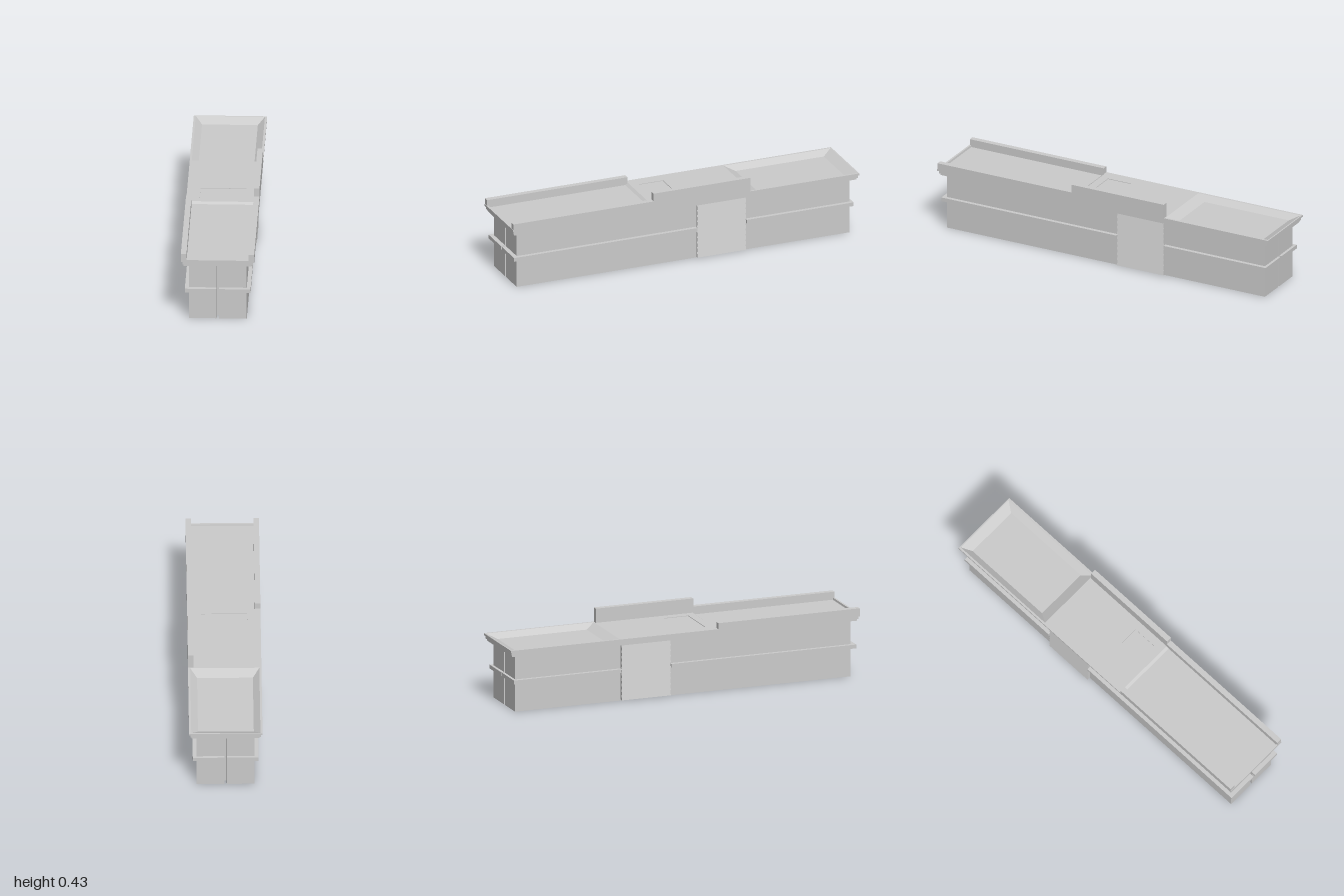
import * as THREE from 'three';

const mat = new THREE.MeshStandardMaterial({ color: 0xcccccc, flatShading: true, side: THREE.DoubleSide });

function add(parent, name, geometry) {
  const mesh = new THREE.Mesh(geometry, mat);
  mesh.name = name;
  parent.add(mesh);
  return mesh;
}

// Box given by its min and max on each axis
function box(parent, name, x0, x1, y0, y1, z0, z1) {
  const mesh = add(parent, name, new THREE.BoxGeometry(x1 - x0, y1 - y0, z1 - z0));
  mesh.position.set((x0 + x1) / 2, (y0 + y1) / 2, (z0 + z1) / 2);
  return mesh;
}

// Rectangle [x0, x1, z0, z1] as a path in the XY plane (y = -z)
function rect(path, [x0, x1, z0, z1]) {
  path.moveTo(x0, -z1);
  path.lineTo(x1, -z1);
  path.lineTo(x1, -z0);
  path.lineTo(x0, -z0);
  path.closePath();
  return path;
}

// Horizontal slab with rectangular holes
function slab(parent, name, outline, holes, y0, y1) {
  const shape = rect(new THREE.Shape(), outline);
  for (const h of holes) shape.holes.push(rect(new THREE.Path(), h));
  const g = new THREE.ExtrudeGeometry(shape, { depth: y1 - y0, bevelEnabled: false });
  g.rotateX(-Math.PI / 2);
  g.translate(0, y0, 0);
  return add(parent, name, g);
}

// Open tray with sloping walls from a top rectangle to a floor rectangle
function tray(parent, name, top, floor, yTop, yFloor) {
  const corners = ([x0, x1, z0, z1], y) => [[x0, y, z0], [x0, y, z1], [x1, y, z1], [x1, y, z0]];
  const pos = [...corners(top, yTop), ...corners(floor, yFloor)].flat();
  const index = [4, 5, 6, 4, 6, 7];
  for (let i = 0; i < 4; i++) {
    const j = (i + 1) % 4;
    index.push(i, j, j + 4, i, j + 4, i + 4);
  }
  const g = new THREE.BufferGeometry();
  g.setAttribute('position', new THREE.Float32BufferAttribute(pos, 3));
  g.setIndex(index);
  const flat = g.toNonIndexed();
  flat.computeVertexNormals();
  return add(parent, name, flat);
}

// Louvred panel: saw-tooth profile run along z
function louvres() {
  const slats = 10, y0 = 0.005, step = 0.0305;
  const s = new THREE.Shape();
  s.moveTo(0.15, y0);
  for (let i = 0; i < slats; i++) {
    s.lineTo(0.172, y0 + i * step);
    s.lineTo(0.165, y0 + (i + 1) * step);
  }
  s.lineTo(0.15, y0 + slats * step);
  s.closePath();
  const g = new THREE.ExtrudeGeometry(s, { depth: 0.28, bevelEnabled: false });
  g.translate(0, 0, -0.355);
  return g;
}

export function createModel() {
  const model = new THREE.Group();
  model.name = 'barCounter';

  // Two long cabinets back to back with a recessed core between them
  box(model, 'core', -0.008, 0.008, 0.015, 0.297, -0.95, 0.95);
  for (const side of [1, -1]) {
    const half = new THREE.Group();
    half.name = side > 0 ? 'leftHalf' : 'rightHalf';
    const b = (name, xa, xb, ...rest) =>
      box(half, name, Math.min(xa * side, xb * side), Math.max(xa * side, xb * side), ...rest);
    b('cabinet', 0.006, 0.154, 0, 0.311, -0.96, 0.962);

    // Middle rail, broken by the louvred panel
    b('sideRailFront', 0.154, 0.175, 0.157, 0.178, -0.072, 0.986);
    b('sideRailBack', 0.154, 0.175, 0.157, 0.178, -0.975, -0.358);
    b('endRailFront', 0.006, 0.154, 0.157, 0.178, 0.962, 0.986);
    b('endRailBack', 0.006, 0.154, 0.157, 0.178, -0.975, -0.96);

    const panel = add(half, 'louvredPanel', louvres());
    if (side < 0) {
      panel.rotation.y = Math.PI;
      panel.position.z = -0.43;
    }
    model.add(half);
  }

  // Stepped worktop with basin, hatch and front tray openings
  const basin = [-0.185, 0.183, -0.993, -0.375];
  const hatch = [-0.125, 0.12, 0, 0.14];
  const front = [-0.166, 0.166, 0.185, 0.99];
  slab(model, 'lowerCornice', [-0.181, 0.181, -0.988, 0.988], [], 0.311, 0.322);
  slab(model, 'middleCornice', [-0.188, 0.188, -0.994, 0.994], [basin], 0.322, 0.338);
  slab(model, 'worktop', [-0.196, 0.195, -1, 1], [basin, hatch, front], 0.338, 0.349);
  tray(model, 'basin', basin, [-0.15, 0.147, -0.94, -0.43], 0.349, 0.3225);
  tray(model, 'frontTray', front, [-0.166, 0.166, 0.2, 0.988], 0.349, 0.3385);
  box(model, 'hatchCover', -0.125, 0.12, 0.336, 0.346, 0, 0.14);

  // Upstands along the worktop edges
  box(model, 'rightUpstand', -0.196, -0.166, 0.34, 0.382, 0.188, 0.998);
  box(model, 'leftUpstand', 0.165, 0.195, 0.34, 0.382, 0.188, 0.998);
  box(model, 'leftTallUpstand', 0.165, 0.195, 0.34, 0.427, -0.37, 0.188);

  return model;
}
